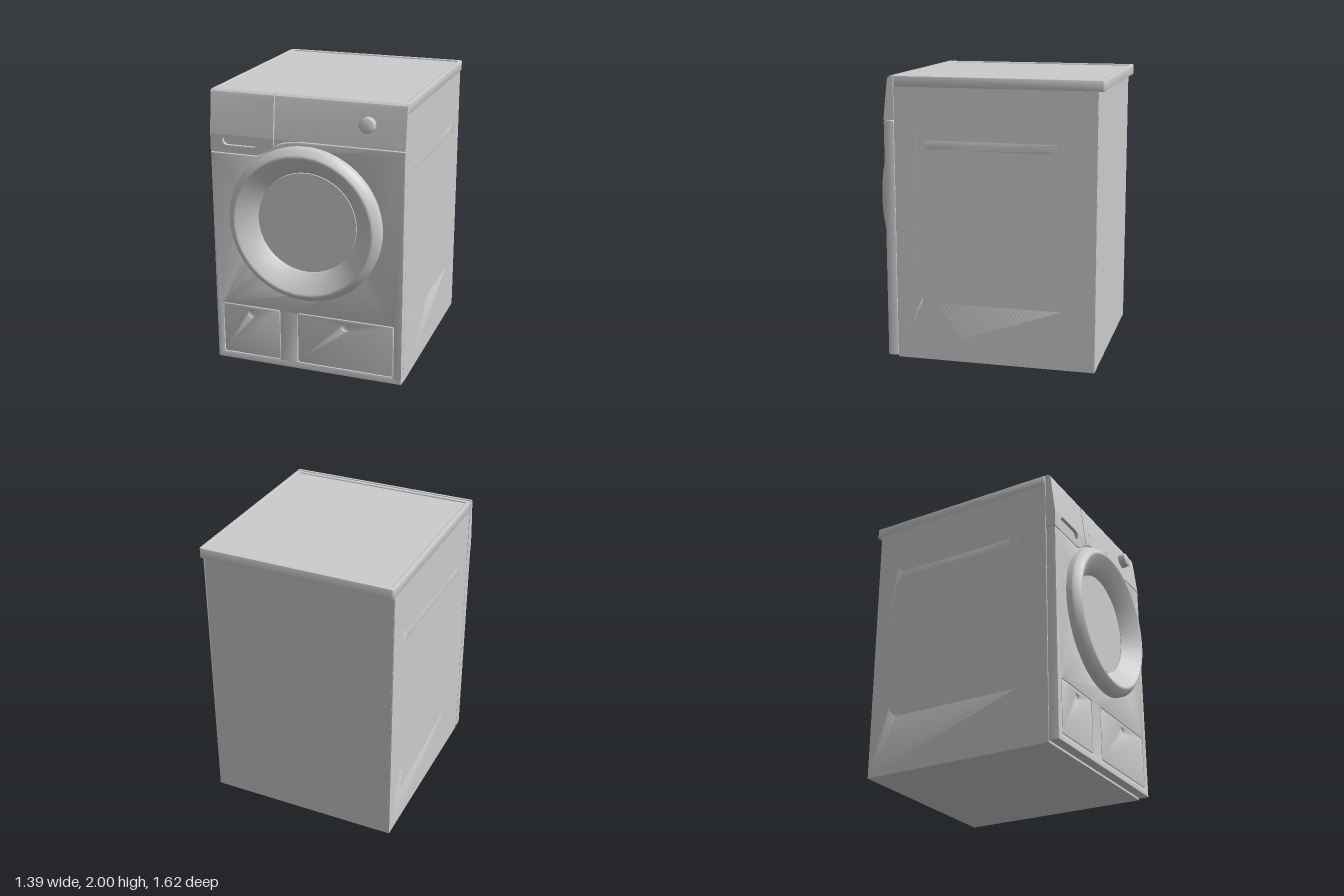
import * as THREE from 'three';
import { toCreasedNormals } from 'three/addons/utils/BufferGeometryUtils.js';

const grey = new THREE.MeshStandardMaterial({ color: 0xcccccc });
const greyOpen = new THREE.MeshStandardMaterial({ color: 0xcccccc, side: THREE.DoubleSide });

// Rounded rectangle outline from its limits
function roundRect(x0, y0, x1, y1, r, Type = THREE.Shape) {
  const s = new Type();
  s.absarc(x1 - r, y0 + r, r, -Math.PI / 2, 0);
  s.absarc(x1 - r, y1 - r, r, 0, Math.PI / 2);
  s.absarc(x0 + r, y1 - r, r, Math.PI / 2, Math.PI);
  s.absarc(x0 + r, y0 + r, r, Math.PI, Math.PI * 1.5);
  s.closePath();
  return s;
}

function circle(x, y, r) {
  return new THREE.Path().absarc(x, y, r, 0, Math.PI * 2);
}

// Extrusion that keeps its outline size and total depth when bevelled
function slab(shape, depth, bevel = 0, curveSegments = 16) {
  const g = new THREE.ExtrudeGeometry(shape, {
    depth: depth - 2 * bevel, curveSegments, bevelEnabled: bevel > 0,
    bevelSize: bevel, bevelThickness: bevel, bevelOffset: -bevel, bevelSegments: 2,
  });
  g.translate(0, 0, bevel);
  return toCreasedNormals(g, 0.6);
}

export function createModel() {
  const root = new THREE.Group();
  const add = (name, geo, x = 0, y = 0, z = 0, mat = grey, parent = root) => {
    const m = new THREE.Mesh(geo, mat);
    m.name = name;
    m.position.set(x, y, z);
    parent.add(m);
    return m;
  };

  // Cabinet core
  add('cabinet', new THREE.BoxGeometry(1.364, 1.93, 1.411), 0, 0.965, -0.0645);

  // Side panels with five shallow pressed slots
  for (const side of [1, -1]) {
    const s = roundRect(-0.77, 0, 0.641, 1.93, 0.002);
    for (const y of [1.652, 1.416, 0.974, 0.738, 0.504]) {
      const a = side > 0 ? -0.48 : -0.61, b = side > 0 ? 0.61 : 0.48;
      // Outline x runs along -z on the left side and +z on the right
      s.holes.push(roundRect(a, y - 0.083, b, y + 0.083, 0.08, THREE.Path));
    }
    const outline = side > 0 ? roundRect(-0.641, 0, 0.77, 1.93, 0.002) : s;
    outline.holes = s.holes;
    const g = slab(outline, 0.01, 0.003);
    g.rotateY(side * Math.PI / 2);
    add(side > 0 ? 'leftSidePanel' : 'rightSidePanel', g, side * 0.681, 0, 0);
  }

  // Lid: raised rim around a slightly sunken top
  const rim = roundRect(-0.695, -0.641, 0.695, 0.81, 0.018);
  rim.holes.push(roundRect(-0.662, -0.608, 0.662, 0.778, 0.015, THREE.Path));
  const rimGeo = slab(rim, 0.075, 0.008);
  rimGeo.rotateX(-Math.PI / 2);
  add('lidRim', rimGeo, 0, 1.925, 0);
  add('lidTop', new THREE.BoxGeometry(1.34, 0.06, 1.4), 0, 1.96, -0.085);

  // Lower front panel with openings for the door and the two hatches
  const front = new THREE.Shape();
  front.moveTo(-0.692, 0.012);
  front.lineTo(0.692, 0.012);
  front.lineTo(0.692, 1.692);
  front.lineTo(0, 1.692);
  front.bezierCurveTo(-0.1, 1.692, -0.17, 1.675, -0.22, 1.645);
  front.bezierCurveTo(-0.29, 1.6, -0.31, 1.565, -0.37, 1.565);
  front.lineTo(-0.692, 1.565);
  front.closePath();
  front.holes.push(circle(0, 1.12, 0.5));
  const hatches = [
    ['rightHatch', -0.642, -0.203, -0.42],
    ['leftHatch', -0.073, 0.635, 0.285],
  ];
  for (const [, x0, x1] of hatches) {
    front.holes.push(roundRect(x0, 0.062, x1, 0.446, 0.016, THREE.Path));
  }
  add('frontPanel', slab(front, 0.072, 0.005, 24), 0, 0, 0.643);

  // Hatches, each with a small round finger dimple
  for (const [name, x0, x1, dx] of hatches) {
    const s = roundRect(x0 + 0.004, 0.066, x1 - 0.004, 0.442, 0.013);
    s.holes.push(circle(dx, 0.386, 0.028));
    add(name, slab(s, 0.071, 0.003), 0, 0, 0.643);
    const bowl = new THREE.SphereGeometry(0.028, 24, 8, 0, Math.PI * 2, Math.PI / 2, Math.PI / 2);
    bowl.rotateX(Math.PI / 2);
    bowl.scale(1, 1, 0.35);
    add(name + 'Dimple', bowl, dx, 0.386, 0.712, greyOpen);
  }

  // Sloping upper fascia, split into detergent drawer and control console
  const fascia = new THREE.Shape([
    [0.643, 1.697], [0.715, 1.697], [0.685, 1.965], [0.679, 1.987], [0.663, 2], [0.643, 2],
  ].map(([z, y]) => new THREE.Vector2(-z, y)));
  const addFascia = (name, x0, x1) => {
    const g = slab(fascia, x1 - x0);
    g.rotateY(Math.PI / 2);
    add(name, g, x0, 0, 0);
  };
  addFascia('drawerUpperFace', -0.692, -0.229);
  addFascia('controlConsole', -0.221, 0.692);

  // Lower part of the drawer face with a handle pocket
  const drawer = new THREE.Shape();
  drawer.moveTo(-0.692, 1.571);
  drawer.lineTo(-0.37, 1.571);
  drawer.bezierCurveTo(-0.31, 1.571, -0.29, 1.605, -0.229, 1.648);
  drawer.lineTo(-0.229, 1.697);
  drawer.lineTo(-0.692, 1.697);
  drawer.closePath();
  drawer.holes.push(roundRect(-0.602, 1.625, -0.342, 1.693, 0.033, THREE.Path));
  add('drawerLowerFace', slab(drawer, 0.072), 0, 0, 0.643);
  add('drawerHandlePocket', slab(roundRect(-0.602, 1.625, -0.342, 1.693, 0.033), 0.04), 0, 0, 0.65);

  // Console edge that follows the curve above the door
  const edge = new THREE.Shape();
  edge.moveTo(-0.221, 1.652);
  edge.bezierCurveTo(-0.17, 1.682, -0.1, 1.697, 0, 1.697);
  edge.lineTo(-0.221, 1.697);
  edge.closePath();
  add('consoleCurvedEdge', slab(edge, 0.072), 0, 0, 0.643);

  // Controls lie on the sloping face
  const slope = Math.atan(0.03 / 0.268);
  const faceZ = (y) => 0.715 - (y - 1.697) * 0.112;
  const controls = new THREE.Group();
  controls.name = 'controls';
  root.add(controls);
  const knobGeo = toCreasedNormals(new THREE.LatheGeometry([
    [0.053, -0.01], [0.053, 0.042], [0.05, 0.05], [0.044, 0.053], [0, 0.053],
  ].map(([r, h]) => new THREE.Vector2(r, h)), 40), 0.6);
  knobGeo.rotateX(Math.PI / 2);
  add('programKnob', knobGeo, 0.435, 1.85, faceZ(1.85), greyOpen, controls).rotation.x = -slope;
  for (const y of [1.9, 1.865, 1.83, 1.795]) {
    add('indicator', new THREE.BoxGeometry(0.008, 0.008, 0.002), -0.19, y, faceZ(y), grey, controls).rotation.x = -slope;
  }
  add('indicatorStrip', new THREE.BoxGeometry(0.34, 0.004, 0.002), 0.01, 1.78, faceZ(1.78), grey, controls).rotation.x = -slope;

  // Round door: chamfered ring with a deep conical inside and a flat window
  const door = new THREE.Group();
  door.name = 'door';
  door.position.set(0, 1.12, 0);
  root.add(door);
  const ring = toCreasedNormals(new THREE.LatheGeometry([
    [0.548, 0.7], [0.548, 0.757], [0.542, 0.768], [0.508, 0.805], [0.498, 0.81],
    [0.49, 0.81], [0.482, 0.806], [0.366, 0.708], [0.36, 0.7], [0.36, 0.68],
  ].map(([r, z]) => new THREE.Vector2(r, z)), 96), 0.5);
  ring.rotateX(Math.PI / 2);
  add('doorRing', ring, 0, 0, 0, greyOpen, door);
  const glass = new THREE.CylinderGeometry(0.355, 0.355, 0.05, 96);
  glass.rotateX(Math.PI / 2);
  add('doorWindow', glass, 0, 0, 0.675, grey, door);

  return root;
}
